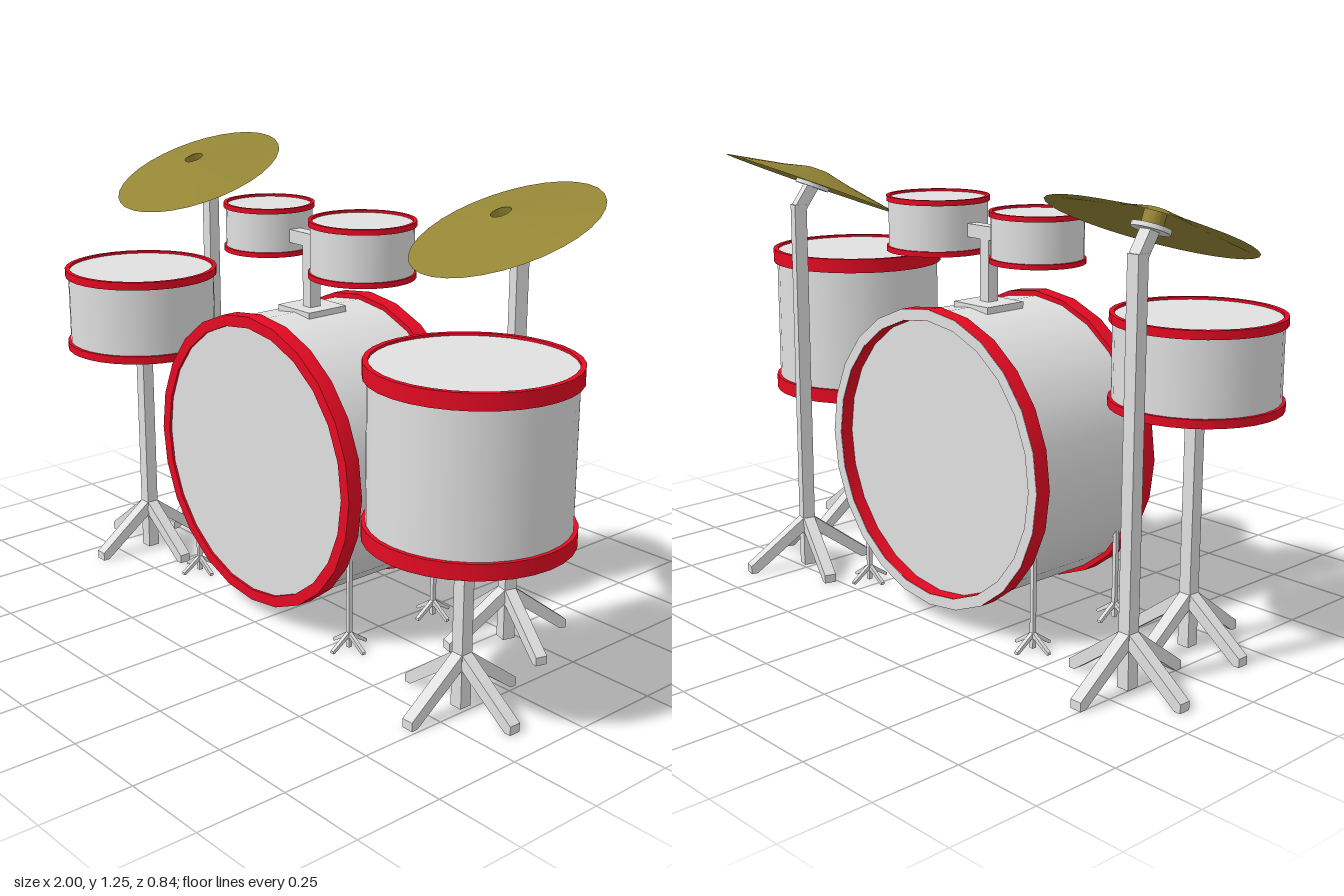
import * as THREE from 'three';
import { toCreasedNormals } from 'three/addons/utils/BufferGeometryUtils.js';

const V = (x, y, z) => new THREE.Vector3(x, y, z);

export function createModel() {
  const mat = (name, color) => {
    const m = new THREE.MeshStandardMaterial({ color, side: THREE.DoubleSide });
    m.name = name;
    return m;
  };
  const gray = mat('silver gray', 0xe0e0e0);
  const red = mat('hoop red', 0xe40a22);
  const gold = mat('cymbal brass', 0x948535);

  const root = new THREE.Group();
  root.name = 'drumKit';

  const group = (name, parent = root) => {
    const g = new THREE.Group();
    g.name = name;
    parent.add(g);
    return g;
  };
  const add = (parent, name, geo, material, x = 0, y = 0, z = 0) => {
    const m = new THREE.Mesh(geo, material);
    m.name = name;
    m.position.set(x, y, z);
    parent.add(m);
    return m;
  };
  // square bar between two points
  const bar = (parent, name, a, b, w) => {
    const m = new THREE.Mesh(new THREE.BoxGeometry(w, w, a.distanceTo(b)), gray);
    m.name = name;
    m.position.copy(a).add(b).multiplyScalar(0.5);
    m.lookAt(b);
    parent.add(m);
  };
  const lathe = (pts, seg) => toCreasedNormals(
    new THREE.LatheGeometry(pts.map(p => new THREE.Vector2(p[0], p[1])), seg), 0.6);
  const hoopGeo = (r, rIn, h, seg) => lathe([[r, -h / 2], [r, h / 2], [rIn, h / 2], [rIn, -h / 2], [r, -h / 2]], seg);

  // drum standing on its local y axis, centred on its own origin
  function drum(name, r, height, hoopH, rimW, inset, seg) {
    const g = group(name);
    add(g, 'shell', new THREE.CylinderGeometry(r - inset, r - inset, height - 0.012, seg, 1, true), gray);
    for (const s of [1, -1]) {
      add(g, s > 0 ? 'topHoop' : 'bottomHoop', hoopGeo(r, r - rimW, hoopH, seg), red, 0, s * (height - hoopH) / 2, 0);
    }
    const head = add(g, 'head', new THREE.CircleGeometry(r - rimW * 0.9, seg), gray, 0, height / 2 - 0.007, 0);
    head.rotation.x = -Math.PI / 2;
    return g;
  }

  // four splayed feet around a post, cut flat at the floor and upright at the tip
  function feet(parent, reach, top, tip, w) {
    const floor = 0.008;
    const drop = top * 0.25;
    const shape = new THREE.Shape([[0, top], [reach, tip], [reach, floor], [reach * 0.9, floor], [0, top - drop]]
      .map(p => new THREE.Vector2(p[0], p[1])));
    const geo = new THREE.ExtrudeGeometry(shape, { depth: w, bevelEnabled: false }).translate(0, 0, -w / 2);
    for (let i = 0; i < 4; i++) add(parent, 'foot', geo, gray).rotation.y = i * Math.PI / 2;
  }
  function stand(name, x, z, height) {
    const g = group(name);
    g.position.set(x, 0, z);
    add(g, 'post', new THREE.BoxGeometry(0.036, height - 0.01, 0.036), gray, 0, (height + 0.01) / 2, 0);
    feet(g, 0.187, 0.173, 0.032, 0.034);
    return g;
  }

  // bass drum lying on its side, with a sunken rear head and a gray rear hoop edge
  const bass = drum('bassDrum', 0.419, 0.45, 0.046, 0.032, 0.014, 24);
  bass.position.set(-0.055, 0.467, -0.008);
  bass.rotation.x = Math.PI / 2;
  add(bass, 'rearRim', hoopGeo(0.4185, 0.388, 0.003, 24), gray, 0, -0.225, 0);
  add(bass, 'rearHead', new THREE.CircleGeometry(0.39, 24), gray, 0, -0.187, 0).rotation.x = Math.PI / 2;

  // bass drum spurs
  for (const x of [-0.4, 0.292]) for (const z of [0.15, -0.17]) {
    const g = group('bassSpur');
    g.position.set(x, 0, z);
    add(g, 'rod', new THREE.BoxGeometry(0.012, 0.26, 0.012), gray, 0, 0.14, 0);
    feet(g, 0.062, 0.058, 0.015, 0.011);
  }

  // upright drums
  drum('floorTom', 0.265, 0.45, 0.042, 0.014, 0.011, 32).position.set(0.735, 0.7, 0.154);
  drum('snareDrum', 0.228, 0.245, 0.023, 0.013, 0.009, 32).position.set(-0.664, 0.793, 0.151);
  drum('smallTom', 0.13, 0.137, 0.014, 0.01, 0.006, 32).position.set(-0.249, 1.081, -0.016);
  drum('mediumTom', 0.146, 0.156, 0.015, 0.01, 0.006, 32).position.set(0.151, 1.078, -0.014);

  // rack tom mount
  const mount = group('tomMount');
  add(mount, 'plate', new THREE.BoxGeometry(0.135, 0.03, 0.135), gray, -0.061, 0.866, -0.017);
  add(mount, 'post', new THREE.BoxGeometry(0.034, 0.21, 0.036), gray, -0.055, 0.965, -0.01);
  add(mount, 'crossbar', new THREE.BoxGeometry(0.15, 0.037, 0.038), gray, -0.058, 1.071, -0.01);

  // drum stands
  stand('floorTomStand', 0.723, 0.152, 0.49);
  stand('snareStand', -0.664, 0.15, 0.685);

  // cymbals on tilted necks
  function cymbalStand(name, x, z, turn) {
    const g = stand(name, x, z, 1.11);
    g.rotation.y = turn;
    bar(g, 'neck', V(0, 1.1, 0), V(0, 1.163, 0.041), 0.034);
    const c = group('cymbal', g);
    c.position.set(0, 1.166, 0.045);
    c.rotation.x = 0.373;
    // shallow cone with a sleeve in the centre hole and a washer below
    add(c, 'plate', lathe([[0.263, 0], [0.1, 0.029], [0.028, 0.046], [0.028, 0.004]], 32), gold);
    add(c, 'washer', new THREE.CylinderGeometry(0.05, 0.05, 0.012, 24), gray, 0, -0.002, 0);
  }
  cymbalStand('leftCymbalStand', 0.528, -0.222, -0.28);
  cymbalStand('rightCymbalStand', -0.735, -0.167, 0);

  return root;
}
